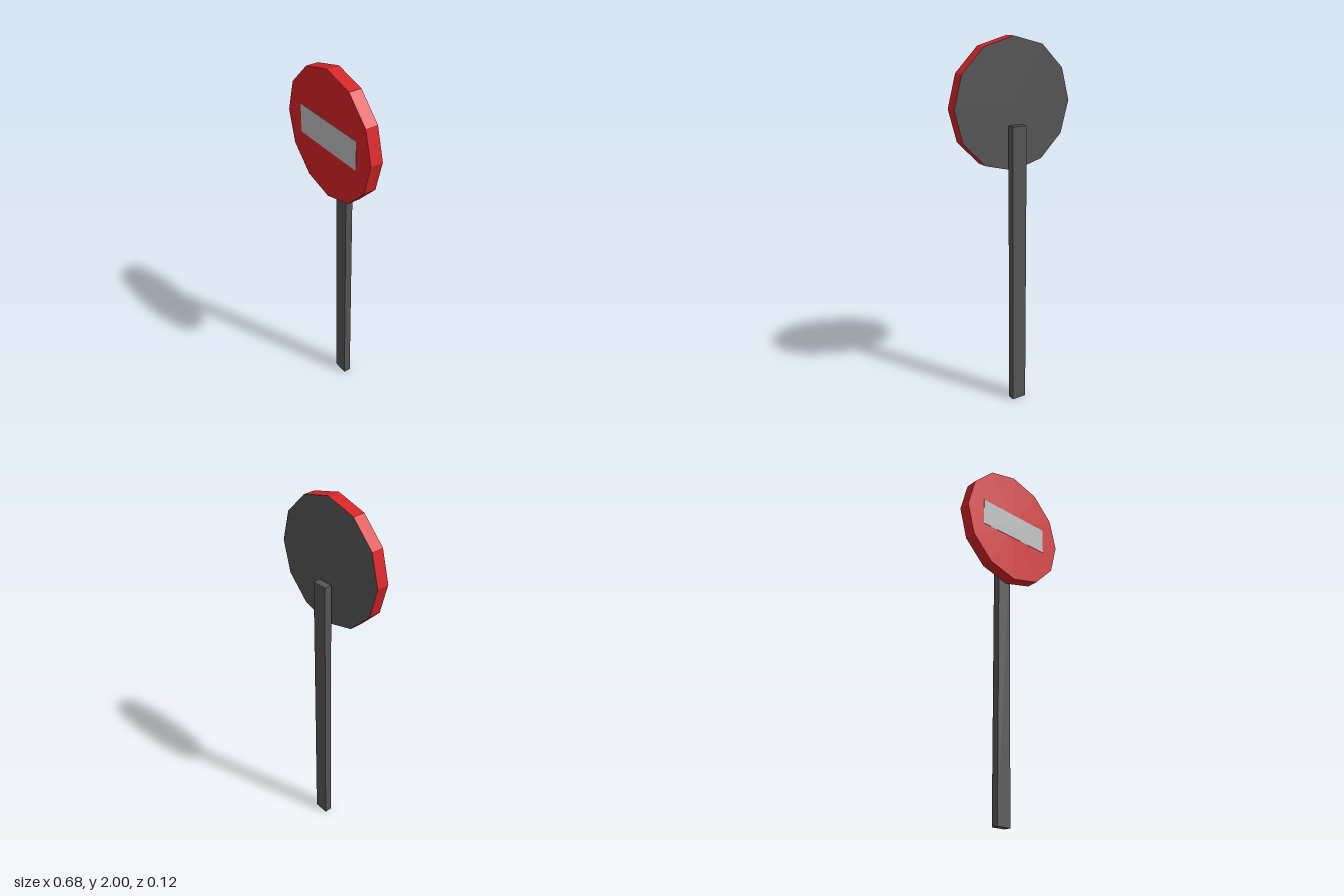
import * as THREE from 'three';

export function createModel() {
  const paint = (name, color) => {
    const m = new THREE.MeshStandardMaterial({ color, flatShading: true });
    m.name = name;
    return m;
  };
  const red = paint('signRed', 0xd62427);
  const pale = paint('barPaleGrey', 0xbdbdbd);
  const grey = paint('metalGrey', 0x555555);

  const group = new THREE.Group();
  group.name = 'noEntrySign';
  const add = (name, geometry, material, x, y, z) => {
    const mesh = new THREE.Mesh(geometry, material);
    mesh.name = name;
    mesh.position.set(x, y, z);
    group.add(mesh);
  };

  // Twelve-sided disc: red rim and face, bare metal back
  const disc = new THREE.CylinderGeometry(0.339, 0.339, 0.067, 12);
  disc.rotateX(Math.PI / 2);
  add('signDisc', disc, [red, red, grey], 0, 1.661, 0.024);

  // Thin painted bar across the face
  add('signBar', new THREE.BoxGeometry(0.454, 0.153, 0.002), pale, 0, 1.662, 0.058);

  // Flat post standing just behind the disc
  add('post', new THREE.BoxGeometry(0.083, 1.562, 0.041), grey, 0, 0.781, -0.0445);

  return group;
}
